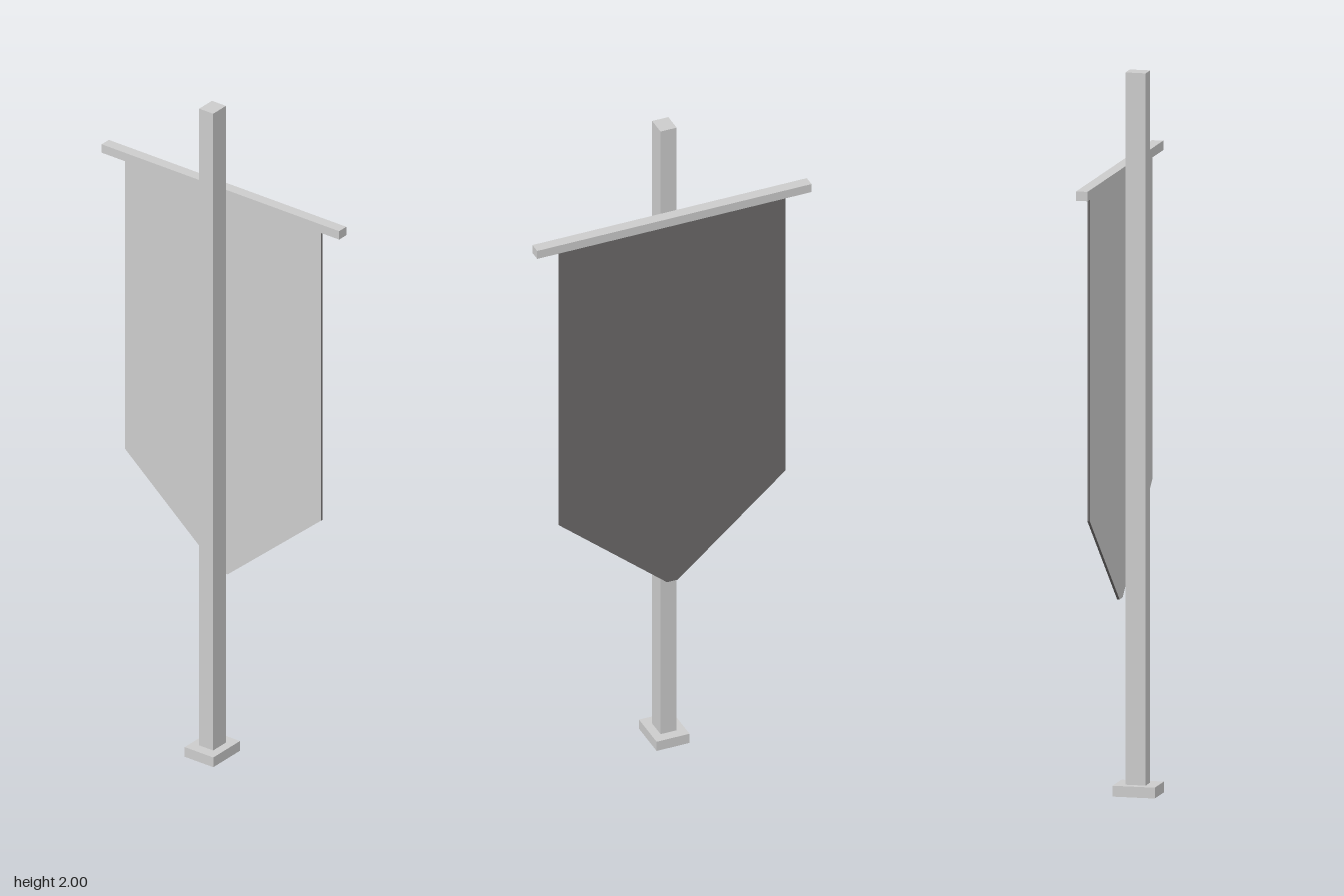
import * as THREE from 'three';

const grey = new THREE.MeshStandardMaterial({ color: 0xcccccc, flatShading: true });
const dark = new THREE.MeshStandardMaterial({ color: 0x6c6a6a, flatShading: true });

// Box standing on height y, centred on x and z = 0
function box(name, w, h, d, x, y) {
  const mesh = new THREE.Mesh(new THREE.BoxGeometry(w, h, d), grey);
  mesh.name = name;
  mesh.position.set(x, y + h / 2, 0);
  return mesh;
}

export function createModel() {
  const group = new THREE.Group();
  group.name = 'bannerStand';

  // Foot, upright pole and crossbar
  group.add(box('base', 0.119, 0.03, 0.098, -0.005, 0));
  group.add(box('pole', 0.057, 1.97, 0.048, -0.004, 0.03));
  group.add(box('crossbar', 0.032, 0.026, 0.816, 0.047, 1.71));

  // Hanging cloth with a blunt pointed bottom
  const outline = new THREE.Shape([
    [-0.337, 1.715], [-0.337, 0.812], [-0.016, 0.54],
    [0.016, 0.54], [0.337, 0.812], [0.337, 1.715],
  ].map(([z, y]) => new THREE.Vector2(z, y)));

  const banner = new THREE.Group();
  banner.name = 'banner';
  banner.rotation.y = -Math.PI / 2;
  banner.position.x = 0.05;
  const cloth = new THREE.Mesh(
    new THREE.ExtrudeGeometry(outline, { depth: 0.006, bevelEnabled: false }), dark);
  cloth.name = 'cloth';

  // Lighter lining on the side towards the pole
  const lining = new THREE.Mesh(new THREE.ShapeGeometry(outline), grey);
  lining.name = 'lining';
  lining.position.z = 0.007;
  banner.add(cloth, lining);
  group.add(banner);

  return group;
}
